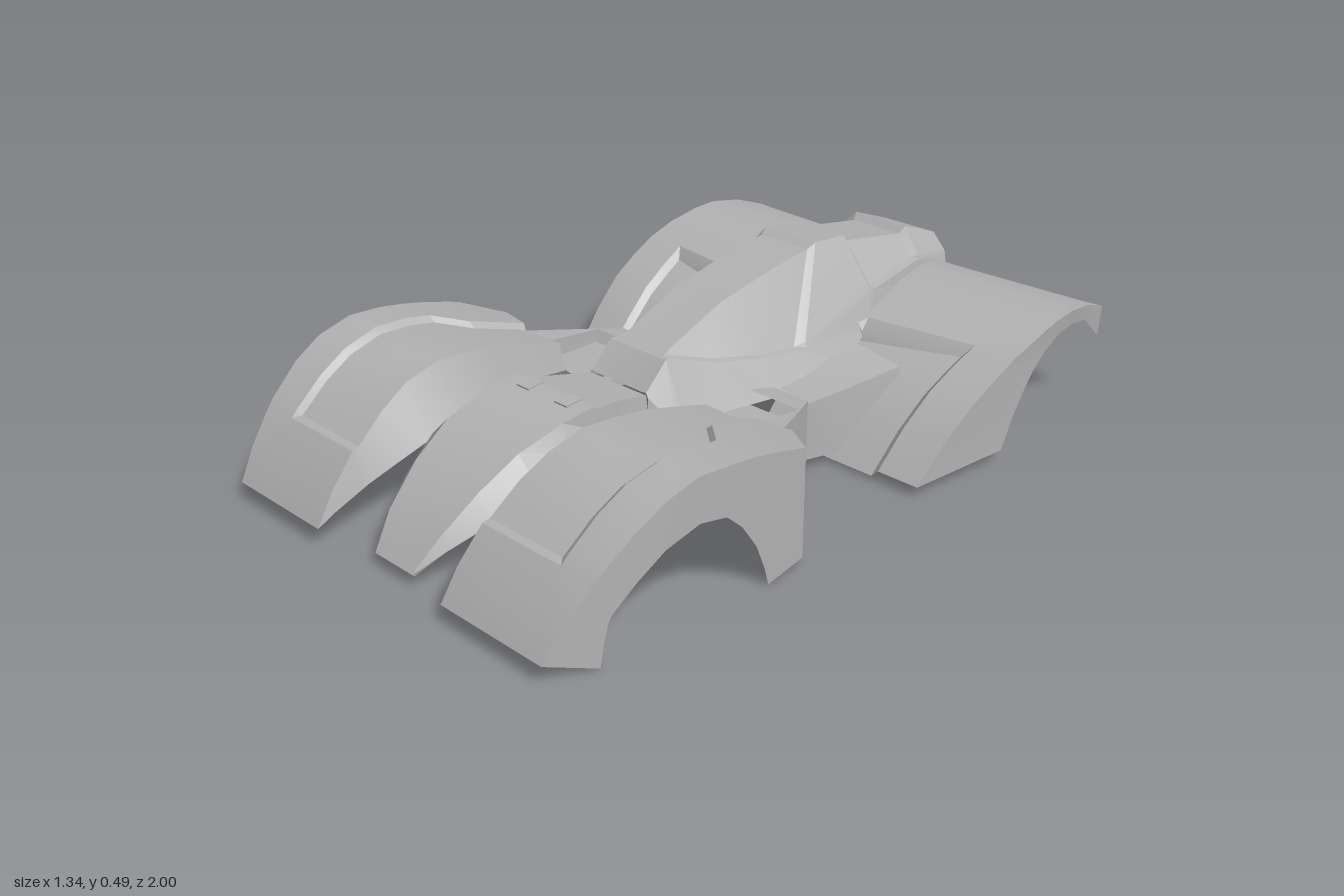
import * as THREE from 'three';
import { toCreasedNormals } from 'three/addons/utils/BufferGeometryUtils.js';

const paint = new THREE.MeshStandardMaterial({ color: 0xb3b3b3, side: THREE.DoubleSide });
paint.name = 'bodyGrey';

// Skin a list of rows, each a list of [x, y, z] points
function skin(name, rows, crease = 0.4) {
  const n = rows[0].length, index = [];
  for (let r = 0; r < rows.length - 1; r++)
    for (let c = 0; c < n - 1; c++) {
      const a = r * n + c, b = a + n;
      index.push(a, b, a + 1, b, b + 1, a + 1);
    }
  const g = new THREE.BufferGeometry();
  g.setAttribute('position', new THREE.Float32BufferAttribute(rows.flat(2), 3));
  g.setIndex(index);
  const mesh = new THREE.Mesh(toCreasedNormals(g, crease), paint);
  mesh.name = name;
  return mesh;
}

// Linear lookup in a table of [key, value] with rising keys
function look(table, k) {
  let i = 1;
  while (i < table.length - 1 && k > table[i][0]) i++;
  const [k0, v0] = table[i - 1], [k1, v1] = table[i];
  const t = Math.min(1, Math.max(0, (k - k0) / (k1 - k0)));
  return v0 + (v1 - v0) * t;
}

const flip = (rows, s) => rows.map(r => r.map(([x, y, z]) => [x * s, y, z]));
const mirrorRow = half => [...half.map(([x, y, z]) => [-x, y, z]).reverse(), ...half];

// Rear fender: wide arch with a sunken panel at its inner front, and an outer wall
function rearFender(s) {
  const g = new THREE.Group();
  const top = [[-1, .29], [-.9, .325], [-.8, .34], [-.72, .335], [-.62, .315], [-.53, .288],
    [-.45, .25], [-.37, .205], [-.28, .13], [-.19, .03]];
  const width = [[-1, .635], [-.8, .66], [-.6, .67], [-.4, .66], [-.19, .63]];
  const arch = [[-1, .2], [-.9, .28], [-.82, .295], [-.75, .29], [-.68, .26], [-.63, .225],
    [-.615, .21], [-.58, .165], [-.55, .115], [-.525, .06], [-.51, .03]];
  const zs = [-1, -.9, -.8, -.72, -.62, -.53, -.505, -.45, -.37, -.28, -.19];
  const rows = zs.map((z, i) => {
    const out = look(width, z), edge = .5 + (-.19 - z) * .11;
    return [.11, .21, .225, edge - .015, edge + .005, out].map((x, c) => {
      const sunk = i > 5 && (c === 2 || c === 3) ? .02 : 0;
      const skew = z < -.9 ? (out - x) * .1 : i === 5 || i === 6 ? (edge - x) * .15 : 0;
      return [x, look(top, z) - sunk, z + Math.max(0, skew)];
    });
  });
  g.add(skin('rearFenderTop', flip(rows, s)));
  const wall = rows.map((r, i) => [r[5], [look(width, arch[i][0]) - .005, arch[i][1], arch[i][0]]]);
  g.add(skin('rearFenderWall', flip(wall, s)));
  g.name = 'rearFender';
  return g;
}

// Front fender: arch with raised outer and front border, inner bevel, outer and back walls
function frontFender(s) {
  const g = new THREE.Group();
  const top = [[.17, .28], [.28, .312], [.36, .333], [.43, .348], [.5, .358], [.6, .365], [.7, .34],
    [.78, .295], [.86, .23], [.88, .21], [.95, .13], [1, .05]];
  const outer = [[.2, .63], [.5, .64], [.75, .63], [.88, .605], [1, .57]];
  const innerTop = [[.2, .27], [.68, .265], [.87, .245], [1, .235]];
  const lowX = [[.2, .25], [.45, .235], [.58, .2], [.68, .185], [.85, .215], [1, .235]];
  const lowY = [[.2, .2], [.5, .24], [.68, .2], [.85, .13], [.95, .08], [1, .05]];
  const edge = [[.22, .41], [.37, .44], [.44, .53], [.87, .5]];
  const zs = [1, .95, .88, .86, .78, .7, .6, .5, .43, .36, .28, .2];
  const rows = zs.map((z, i) => {
    const last = i === zs.length - 1, e = look(edge, z), o = look(outer, z);
    const xs = [look(lowX, z), look(innerTop, z), e - .015, e + .003, last ? .52 : Math.max(e + .02, .54), o];
    const zz = last ? [.2, .2, .21, .2, .17, .25] : xs.map(() => z);
    return xs.map((x, c) => {
      const sunk = i > 2 && (c === 1 || c === 2) ? .015 : 0;
      return [x, c ? look(top, zz[c]) - sunk : look(lowY, z), zz[c]];
    });
  });
  g.add(skin('frontFenderTop', flip(rows, s)));
  const arch = [[.87, 0], [.86, .06], [.85, .1], [.84, .12], [.78, .175], [.7, .225], [.6, .25],
    [.52, .235], [.47, .19], [.42, .12], [.39, .05], [.375, 0]];
  const wall = rows.map((r, i) => [r[5], [look(outer, arch[i][0]), arch[i][1], arch[i][0]]]);
  wall.push([[.63, .015, .25], [.635, 0, .375]]);
  g.add(skin('frontFenderWall', flip(wall, s)));
  const back = rows[rows.length - 1].slice(1).map(([x, y, z]) => [[x, y, z], [x, x > .6 ? .015 : .035, z]]);
  g.add(skin('frontFenderBack', flip(back, s)));
  g.name = 'frontFender';
  return g;
}

// Side pod: flared outer wall, rim and sunken tray, with a wedge running back onto the fender
function sidePod(s) {
  const g = new THREE.Group();
  const line = [[.34, -.1, .205], [.375, -.03, .215], [.48, .2, .245]];
  g.add(skin('podWall', flip(line.map(([x, z, y]) => [[x, .03, z], [x, y, z]]), s)));
  g.add(skin('podRim', flip([
    [[.34, .205, -.1], [.2, .205, -.1]],
    [[.375, .215, -.03], [.17, .215, -.03]],
  ], s)));
  g.add(skin('podTray', flip([
    [[.375, .215, -.03], [.37, .215, -.03], [.37, .18, -.02], [.15, .18, -.02], [.15, .215, -.03]],
    [[.48, .245, .2], [.37, .24, .2], [.365, .18, .2], [.13, .18, .2], [.13, .18, .2]],
  ], s)));
  g.add(skin('podEnd', flip([
    [[.48, .03, .2], [.16, .05, .2]], [[.48, .245, .2], [.13, .18, .2]],
  ], s)));
  g.add(skin('wedge', flip([
    [[.33, .03, -.1], [.33, .19, -.1], [.22, .2, -.12]],
    [[.36, .03, -.2], [.355, .2, -.2], [.24, .21, -.22]],
    [[.405, .19, -.4], [.4, .225, -.4], [.24, .25, -.4]],
  ], s)));
  g.name = 'sidePod';
  return g;
}

// Central hull: ridge, shoulder and lower edge; sunk sections form the rear hatch and canopy
function hull() {
  const sections = [
    [0, [.09, .385, -.95], [.13, .33, -.95], [.15, .27, -.94]],
    [0, [.09, .437, -.81], [.155, .36, -.79], [.17, .3, -.79]],
    [1, [.09, .432, -.79], [.155, .36, -.775], [.17, .3, -.77]],
    [1, [.09, .472, -.55], [.185, .345, -.55], [.215, .26, -.52]],
    [0, [.09, .48, -.53], [.187, .342, -.53], [.22, .26, -.5]],
    [0, [.09, .49, -.41], [.2, .268, -.25], [.25, .2, -.35]],
    [1, [.09, .489, -.385], [.2, .265, -.22], [.25, .19, -.2]],
    [1, [.09, .472, -.25], [.18, .275, -.1], [.23, .18, -.08]],
    [1, [.088, .432, -.05], [.145, .295, .03], [.2, .18, .05]],
    [1, [.085, .355, .14], [.098, .325, .145], [.17, .18, .17]],
    [0, [.085, .328, .17], [.1, .318, .17], [.165, .18, .2]],
    [0, [.08, .26, .24], [.1, .25, .24], [.12, .16, .25]],
  ];
  const rows = sections.map(([sunk, R, M, L]) => {
    const d = sunk * .014;
    return mirrorRow([
      [R[0] - d * .5, R[1] - d, R[2]],
      [M[0] - d, M[1] + .012 - d * .5, M[2]],
      [M[0] + .006, M[1], M[2]],
      L,
    ]);
  });
  return skin('hull', rows, 0.3);
}

export function createModel() {
  const car = new THREE.Group();
  car.name = 'carBody';
  car.add(hull());
  for (const s of [1, -1]) car.add(rearFender(s), frontFender(s), sidePod(s));

  // Neck joining the hull to the nose
  car.add(skin('neck', [
    [[.1, .255, .24], [.115, .16, .24]],
    [[.11, .28, .35], [.115, .22, .35]],
    [[.135, .3, .46], [.145, .25, .46]],
  ].map(mirrorRow)));

  // Nose: curved strap with a broad centre face and bevelled sides
  car.add(skin('nose', [
    [[.14, .31, .45], [.145, .25, .45]],
    [[.14, .3, .55], [.175, .235, .56]],
    [[.132, .265, .68], [.2, .2, .68]],
    [[.117, .2, .79], [.165, .14, .79]],
    [[.095, .115, .89], [.115, .085, .89]],
    [[.07, .035, .955], [.072, .03, .95]],
  ].map(mirrorRow)));

  // Interlocking tabs at the nose joint
  for (const s of [1, -1]) {
    const tab = new THREE.Mesh(new THREE.BoxGeometry(.045, .008, .05), paint);
    tab.position.set(s * .07, .308, .47);
    tab.rotation.x = .1;
    tab.name = 'noseTab';
    car.add(tab);
  }

  // Sloping tail plate with a small hook
  car.add(skin('tailPlate', [
    [[.09, .385, -.95]], [[.13, .33, -.948]], [[.15, .27, -.935]], [[.15, .13, -.9]],
  ].map(mirrorRow)));
  for (const [w, h, d, y, z] of [[.08, .015, .07, .12, -.925], [.04, .06, .015, .15, -.955]]) {
    const hook = new THREE.Mesh(new THREE.BoxGeometry(w, h, d), paint);
    hook.position.set(0, y, z);
    hook.name = 'tailHook';
    car.add(hook);
  }
  return car;
}
